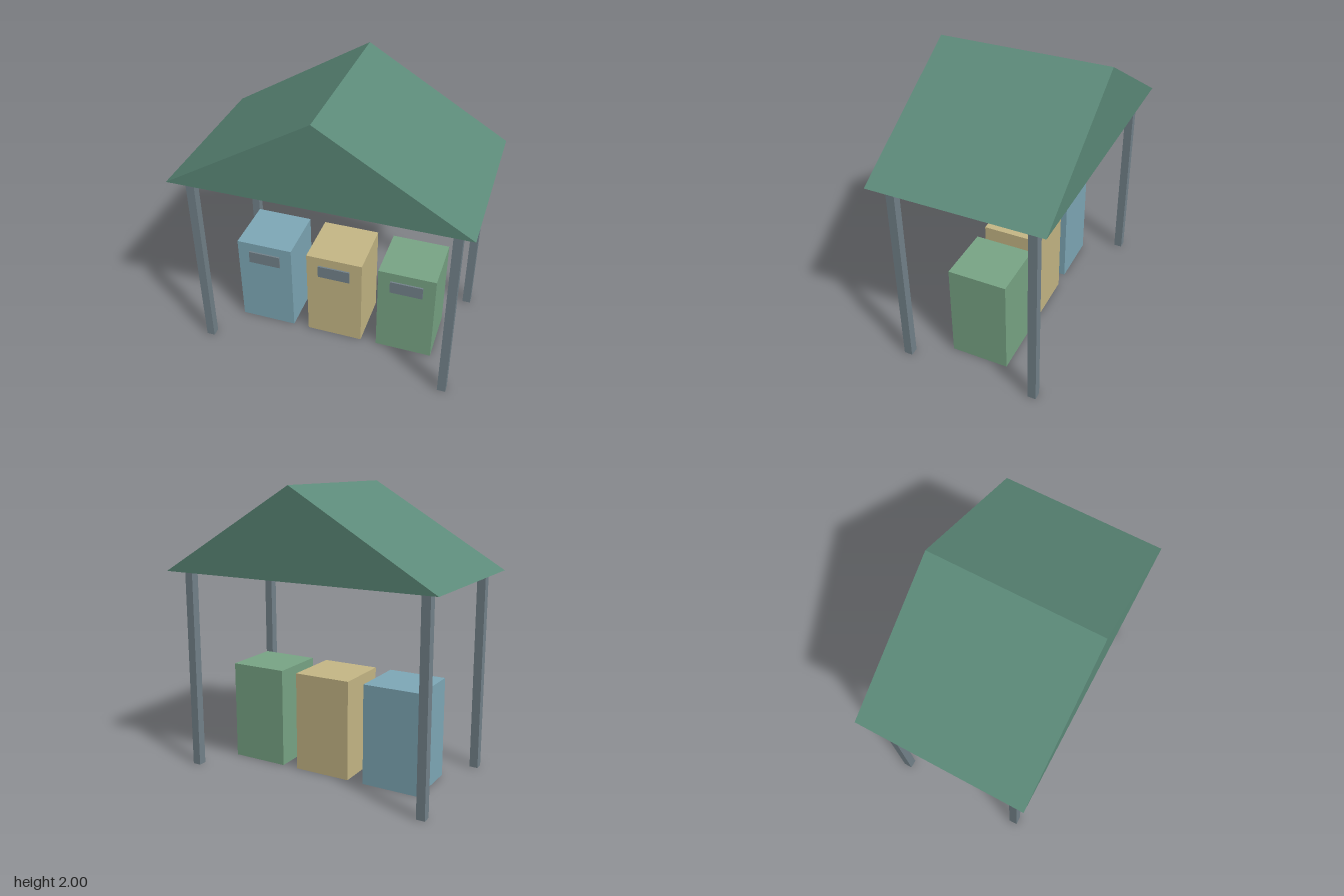
import * as THREE from 'three';

const mat = (name, color) => {
  const m = new THREE.MeshStandardMaterial({ color });
  m.name = name;
  return m;
};

export function createModel() {
  const model = new THREE.Group();
  model.name = 'binShelter';
  const roofGreen = mat('roofGreen', 0x5c8a79);
  const steelGrey = mat('steelGrey', 0x74838b);
  const binColours = [
    ['blue', mat('binBlue', 0x7fa9b8)],
    ['yellow', mat('binYellow', 0xc6b886)],
    ['green', mat('binGreen', 0x79a686)],
  ];

  const box = (name, w, h, d, x, y, z, material, parent = model) => {
    const mesh = new THREE.Mesh(new THREE.BoxGeometry(w, h, d), material);
    mesh.name = name;
    mesh.position.set(x, y, z);
    parent.add(mesh);
  };

  // Solid gable roof, ridge running front to back
  const eaves = 1.41, halfWidth = 0.99, depth = 1.174;
  const gable = new THREE.Shape([
    new THREE.Vector2(-halfWidth, eaves),
    new THREE.Vector2(halfWidth, eaves),
    new THREE.Vector2(0, 2),
  ]);
  const roofGeometry = new THREE.ExtrudeGeometry(gable, { depth, bevelEnabled: false });
  roofGeometry.translate(0, 0, -depth / 2);
  const roof = new THREE.Mesh(roofGeometry, roofGreen);
  roof.name = 'roof';
  model.add(roof);

  // Four corner posts
  for (const [sx, side] of [[1, 'left'], [-1, 'right']])
    for (const [sz, end] of [[1, 'Front'], [-1, 'Back']])
      box(`${side}${end}Post`, 0.059, eaves, 0.059, sx * 0.877, eaves / 2, sz * 0.47, steelGrey);

  // Row of three bins, each with a slot plate on the front
  const binHeight = 0.704, binSize = 0.41;
  binColours.forEach(([colour, material], i) => {
    const bin = new THREE.Group();
    bin.name = `${colour}Bin`;
    bin.position.x = (i - 1) * 0.527;
    box('binBody', binSize, binHeight, binSize, 0, binHeight / 2, 0, material, bin);
    box('slotPlate', 0.234, 0.094, 0.024, 0, 0.587, binSize / 2, steelGrey, bin);
    model.add(bin);
  });

  return model;
}
